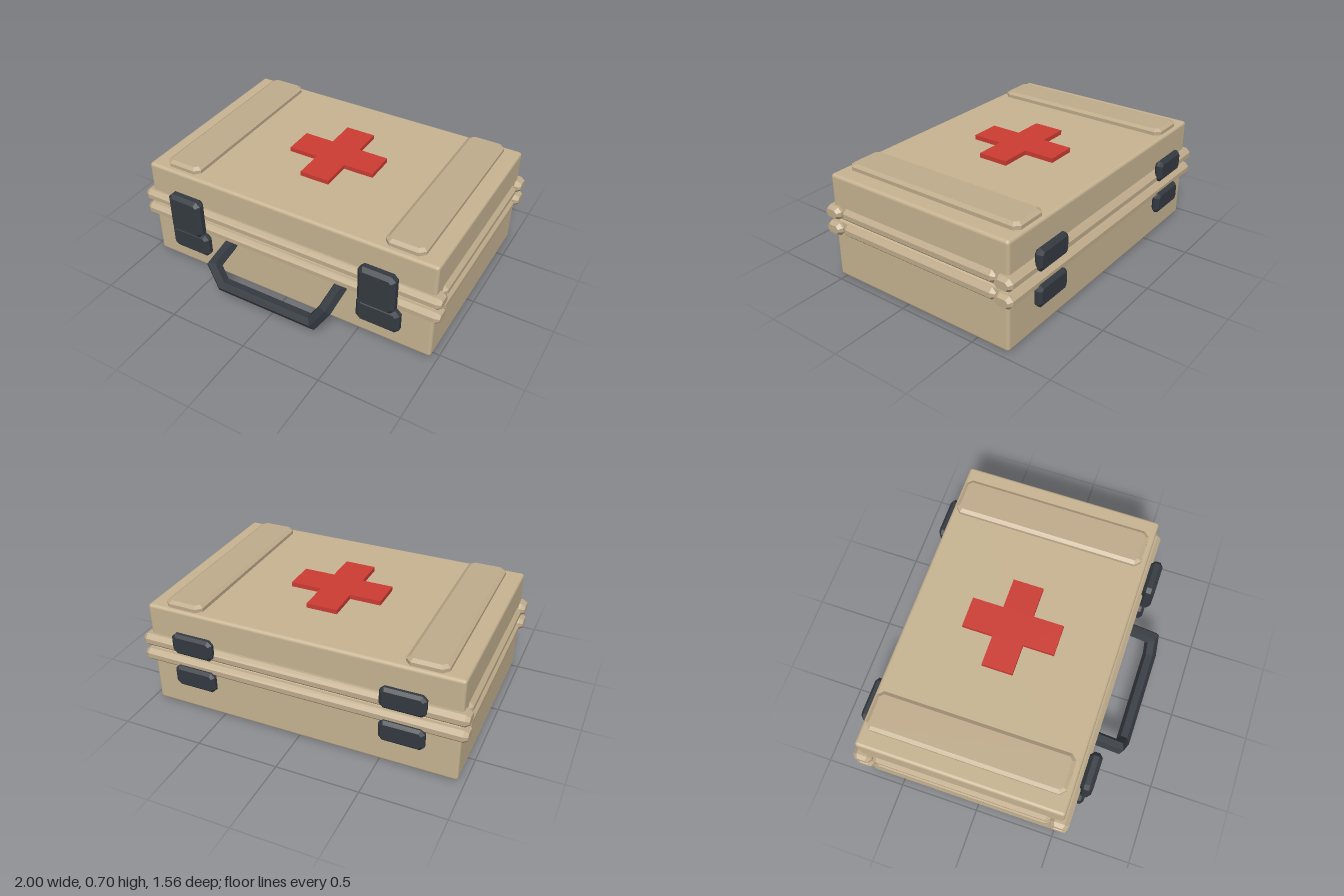
import * as THREE from 'three';
import { RoundedBoxGeometry } from 'three/addons/geometries/RoundedBoxGeometry.js';

const material = (name, color, flatShading = true) => {
  const m = new THREE.MeshStandardMaterial({ color, flatShading });
  m.name = name;
  return m;
};

// Block with cut corners, centred, extruded along z and bevelled at both ends
function chamferBlock(w, h, d, corner, bevelSize, bevelDepth) {
  const x = w / 2 - bevelSize, y = h / 2 - bevelSize, c = corner;
  const shape = new THREE.Shape([
    [-x + c, -y], [x - c, -y], [x, -y + c], [x, y - c],
    [x - c, y], [-x + c, y], [-x, y - c], [-x, -y + c],
  ].map(([a, b]) => new THREE.Vector2(a, b)));
  const g = new THREE.ExtrudeGeometry(shape, {
    depth: d - 2 * bevelDepth, bevelEnabled: true, bevelSegments: 1,
    bevelSize, bevelThickness: bevelDepth,
  });
  return g.translate(0, 0, -d / 2 + bevelDepth);
}

// Straight-sided bar swept along a bent path with mitred corners
function mitredBar(path, radius, sides) {
  const dirs = path.slice(1).map((p, i) => p.clone().sub(path[i]).normalize());
  const u = new THREE.Vector3(1, 0, 0);
  const v = new THREE.Vector3().crossVectors(dirs[0], u).normalize();
  let ring = [];
  for (let k = 0; k < sides; k++) {
    const a = (k / sides) * Math.PI * 2;
    ring.push(path[0].clone().addScaledVector(u, Math.cos(a) * radius).addScaledVector(v, Math.sin(a) * radius));
  }
  const points = [...ring], index = [];
  dirs.forEach((d, i) => {
    const n = d.clone().add(dirs[i + 1] || d).normalize();
    ring = ring.map((p) => p.clone().addScaledVector(d, path[i + 1].clone().sub(p).dot(n) / d.dot(n)));
    points.push(...ring);
    for (let k = 0; k < sides; k++) {
      const a = i * sides + k, b = i * sides + ((k + 1) % sides);
      index.push(a, b, b + sides, a, b + sides, a + sides);
    }
  });
  const last = dirs.length * sides;
  for (let k = 1; k < sides - 1; k++) {
    index.push(0, k + 1, k, last, last + k, last + k + 1);
  }
  const g = new THREE.BufferGeometry().setFromPoints(points);
  g.setIndex(index);
  g.computeVertexNormals();
  return g;
}

export function createModel() {
  const group = new THREE.Group();
  const shell = material('tan shell', 0xc6b391, false);
  const trim = material('tan trim', 0xbfab8b);
  const dark = material('dark hardware', 0x343a41);
  const red = material('red cross', 0xcb3c32);

  const add = (name, geometry, mat, x, y, z) => {
    const mesh = new THREE.Mesh(geometry, mat);
    mesh.name = name;
    mesh.position.set(x, y, z);
    group.add(mesh);
    return mesh;
  };

  // Case halves
  const midZ = -0.083;
  add('lowerCase', new RoundedBoxGeometry(1.92, 0.385, 1.257, 2, 0.02), shell, 0, 0.1925, midZ);
  add('lid', new RoundedBoxGeometry(1.92, 0.283, 1.257, 2, 0.02), shell, 0, 0.5255, midZ);

  // Paired rims round the seam
  const longRim = chamferBlock(0.115, 0.08, 2, 0.016, 0.016, 0.025).rotateY(Math.PI / 2);
  const sideRim = chamferBlock(0.115, 0.08, 1.1, 0.016, 0.016, 0.025);
  for (const [label, y] of [['lower', 0.331], ['upper', 0.434]]) {
    add(label + 'FrontRim', longRim, trim, 0, y, 0.525);
    add(label + 'BackRim', longRim, trim, 0, y, -0.695);
    for (const s of [-1, 1]) {
      add(label + (s > 0 ? 'LeftRim' : 'RightRim'), sideRim, trim, s * 0.927, y, midZ);
    }
  }

  // Lid strips, latches and hinges on both sides
  const strip = chamferBlock(0.24, 1.2, 0.1, 0.02, 0.022, 0.015).rotateX(-Math.PI / 2);
  const latchTop = chamferBlock(0.23, 0.264, 0.076, 0.014, 0.022, 0.022);
  const latchBase = chamferBlock(0.272, 0.16, 0.062, 0.014, 0.022, 0.018);
  const hinge = chamferBlock(0.266, 0.134, 0.05, 0.014, 0.018, 0.016);
  for (const s of [-1, 1]) {
    const side = s > 0 ? 'left' : 'right';
    add(side + 'LidStrip', strip, trim, s * 0.737, 0.654, -0.09);
    add(side + 'LatchTop', latchTop, dark, s * 0.645, 0.436, 0.61);
    add(side + 'LatchBase', latchBase, dark, s * 0.647, 0.227, 0.588);
    add(side + 'HingeTop', hinge, dark, s * 0.643, 0.479, -0.753);
    add(side + 'HingeBase', hinge, dark, s * 0.643, 0.259, -0.753);
  }

  // Raised cross on the lid
  const a = 0.095, b = 0.286;
  const cross = new THREE.Shape([
    [-a, -b], [a, -b], [a, -a], [b, -a], [b, a], [a, a],
    [a, b], [-a, b], [-a, a], [-b, a], [-b, -a], [-a, -a],
  ].map(([x, y]) => new THREE.Vector2(x, y)));
  const crossGeometry = new THREE.ExtrudeGeometry(cross, { depth: 0.04, bevelEnabled: false });
  add('cross', crossGeometry.rotateX(-Math.PI / 2), red, 0, 0.655, -0.09);

  // Carrying handle
  const half = [[0.38, 0.277, 0.53], [0.38, 0.237, 0.722], [0.31, 0.127, 0.742]];
  const path = [
    ...half.map(([x, y, z]) => new THREE.Vector3(-x, y, z)),
    ...half.reverse().map(([x, y, z]) => new THREE.Vector3(x, y, z)),
  ];
  add('handle', mitredBar(path, 0.043, 6), dark, 0, 0, 0);

  return group;
}
